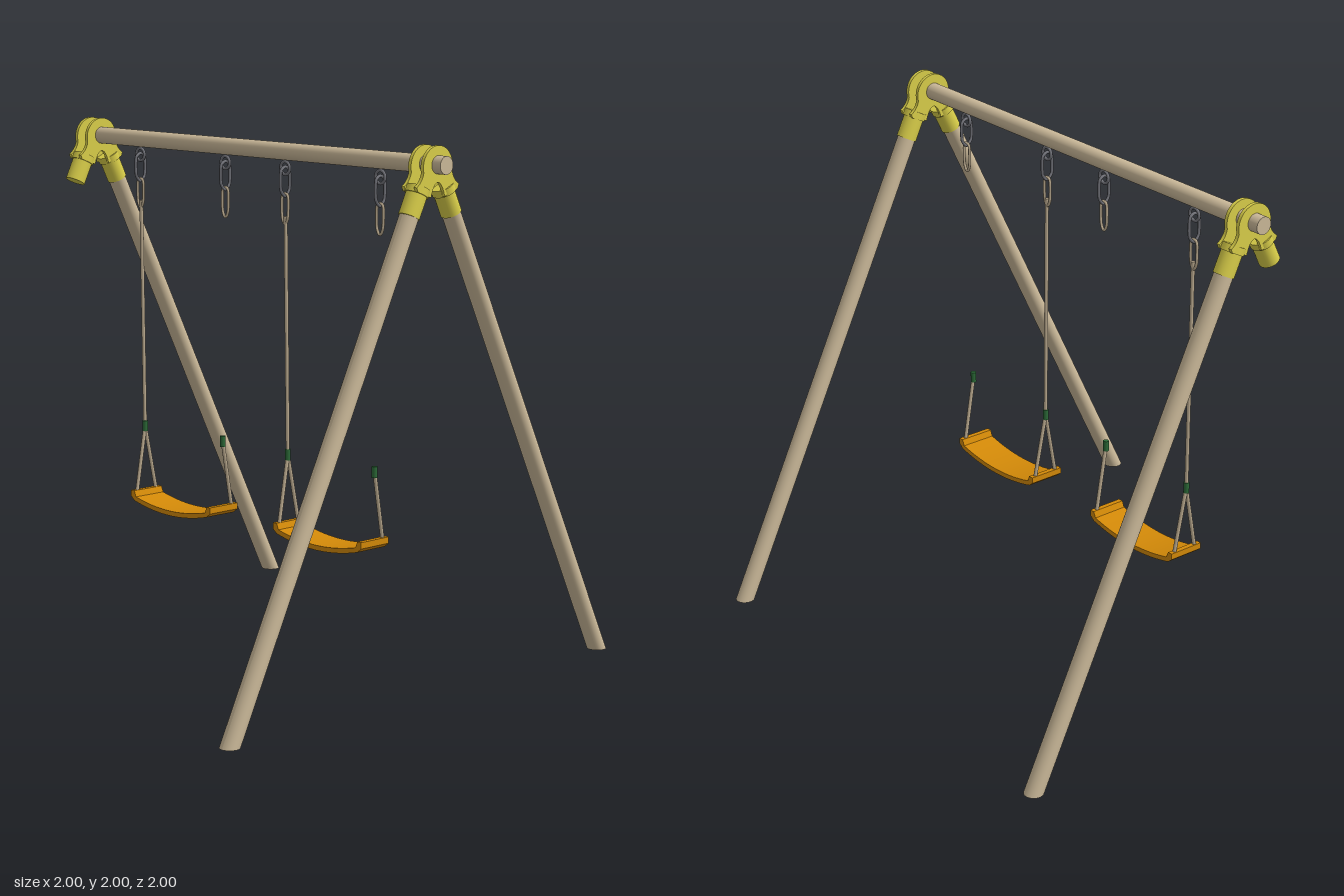
import * as THREE from 'three';

const mat = (name, color) => Object.assign(new THREE.MeshStandardMaterial({ color }), { name });
const V = (x, y, z) => new THREE.Vector3(x, y, z);

export function createModel() {
  const wood = mat('wood', 0xccba9a);
  const yellow = mat('yellow bracket', 0xdbd04a);
  const orange = mat('orange seat', 0xd48a08);
  const green = mat('green ferrule', 0x2c6b38);
  const steel = mat('steel', 0x74757c);
  const rope = mat('rope', 0xbfae92);

  const model = new THREE.Group();
  model.name = 'swingSet';

  const add = (parent, name, geometry, material) => {
    const mesh = new THREE.Mesh(geometry, material);
    mesh.name = name;
    parent.add(mesh);
    return mesh;
  };
  // Round bar between two points
  const rod = (parent, name, a, b, r, material, sides = 24) => {
    const mesh = add(parent, name, new THREE.CylinderGeometry(r, r, a.distanceTo(b), sides), material);
    mesh.position.copy(a).add(b).multiplyScalar(0.5);
    mesh.quaternion.setFromUnitVectors(V(0, 1, 0), b.clone().sub(a).normalize());
    return mesh;
  };
  // Closed wire loop through a few points
  const loop = (parent, name, points, r, material) => add(parent, name,
    new THREE.TubeGeometry(new THREE.CatmullRomCurve3(points, true, 'catmullrom', 0.35), 40, r, 8, true), material);

  // Top beam
  rod(model, 'topBeam', V(-1, 1.932, 0), V(1, 1.932, 0), 0.033, wood, 32);

  // Centre line of a leg at height y
  const legPoint = (x, y, s) => V(x, y, s * (0.963 - 0.4877 * y));

  // Legs are sheared so the feet lie flat on the ground
  const addLeg = (x, s) => {
    const top = 1.82;
    const g = new THREE.CylinderGeometry(0.037, 0.037, top, 28);
    g.translate(0, top / 2, 0);
    const p = g.attributes.position;
    for (let i = 0; i < p.count; i++) p.setZ(i, p.getZ(i) + s * (0.963 - 0.4877 * p.getY(i)));
    g.computeVertexNormals();
    add(model, s > 0 ? 'frontLeg' : 'backLeg', g, wood).position.x = x;
  };
  addLeg(0.922, 1);
  addLeg(0.922, -1);
  addLeg(-0.918, -1);

  // Bracket cheek outline: round hub above two splayed shoulders, arched below
  const cheek = new THREE.Shape();
  cheek.absarc(0, 1.925, 0.075, -0.25, Math.PI + 0.25, false);
  cheek.quadraticCurveTo(-0.08, 1.875, -0.108, 1.858);
  cheek.lineTo(-0.102, 1.842);
  cheek.lineTo(-0.035, 1.818);
  cheek.quadraticCurveTo(-0.022, 1.868, 0, 1.87);
  cheek.quadraticCurveTo(0.022, 1.868, 0.035, 1.818);
  cheek.lineTo(0.102, 1.842);
  cheek.lineTo(0.108, 1.858);
  cheek.quadraticCurveTo(0.08, 1.875, 0.0727, 1.9064);

  for (const x of [-0.918, 0.922]) {
    const bracket = new THREE.Group();
    bracket.name = 'bracket';
    model.add(bracket);
    for (const side of [-1, 1]) {
      const g = new THREE.ExtrudeGeometry(cheek, { depth: 0.014, bevelEnabled: false, curveSegments: 24 });
      g.translate(0, 0, -0.007).rotateY(Math.PI / 2);
      add(bracket, 'bracketCheek', g, yellow).position.x = x + side * 0.03;
    }
    // Leg sockets with a collar
    for (const s of [-1, 1]) {
      rod(bracket, 'legSocket', legPoint(x, 1.845, s), legPoint(x, 1.752, s), 0.039, yellow, 28);
      rod(bracket, 'socketCollar', legPoint(x, 1.853, s), legPoint(x, 1.828, s), 0.044, yellow, 28);
    }
  }

  // Seat profile: shallow sagging strip with upturned ends
  const half = 0.235;
  const sag = (x) => 0.466 + 0.028 * (x / 0.215) ** 2;
  const seatShape = new THREE.Shape();
  const steps = 24;
  seatShape.moveTo(-half, 0.534);
  seatShape.lineTo(-half, 0.51);
  for (let i = 0; i <= steps; i++) {
    const x = -0.215 + 0.43 * i / steps;
    seatShape.lineTo(x, sag(x));
  }
  seatShape.lineTo(half, 0.51);
  seatShape.lineTo(half, 0.534);
  seatShape.lineTo(half - 0.02, 0.534);
  for (let i = 0; i <= steps; i++) {
    const x = 0.205 - 0.41 * i / steps;
    seatShape.lineTo(x, sag(x) + 0.019);
  }
  seatShape.lineTo(-half + 0.02, 0.534);

  for (const cx of [-0.3975, 0.4275]) {
    const swing = new THREE.Group();
    swing.name = 'swing';
    swing.position.x = cx;
    model.add(swing);

    const seat = new THREE.ExtrudeGeometry(seatShape, { depth: 0.144, bevelEnabled: false });
    add(swing, 'seat', seat.translate(0, 0, -0.072), orange);

    for (const s of [-1, 1]) {
      const hx = s * 0.2475;
      // Eye ring, shackle and connecting link under the beam
      add(swing, 'eyeRing', new THREE.TorusGeometry(0.024, 0.006, 10, 28), steel).position.set(hx, 1.87, 0);
      loop(swing, 'shackle', [V(hx, 1.875, 0), V(hx, 1.858, 0.022), V(hx, 1.79, 0.022),
        V(hx, 1.765, 0), V(hx, 1.79, -0.022), V(hx, 1.858, -0.022)], 0.006, steel);
      loop(swing, 'link', [V(hx - 0.01, 1.773, 0), V(hx + 0.01, 1.773, 0), V(hx + 0.017, 1.755, 0),
        V(hx + 0.016, 1.69, 0), V(hx + 0.006, 1.664, 0), V(hx - 0.006, 1.664, 0),
        V(hx - 0.016, 1.69, 0), V(hx - 0.017, 1.755, 0)], 0.0055, rope);

      // Ferrule and seat ropes; the long rope hangs on one side only
      const gx = s * 0.23;
      rod(swing, 'ferrule', V(gx, 0.766, 0), V(gx, 0.808, 0), 0.011, green, 16);
      for (const z of s < 0 ? [-0.052, 0.052] : [-0.052])
        rod(swing, 'seatRope', V(gx, 0.785, 0), V(s * 0.224, 0.515, z), 0.0075, rope, 12);
      if (s < 0) rod(swing, 'longRope', V(hx + 0.003, 1.69, 0), V(gx, 0.79, 0), 0.0075, rope, 12);
    }
  }
  return model;
}
